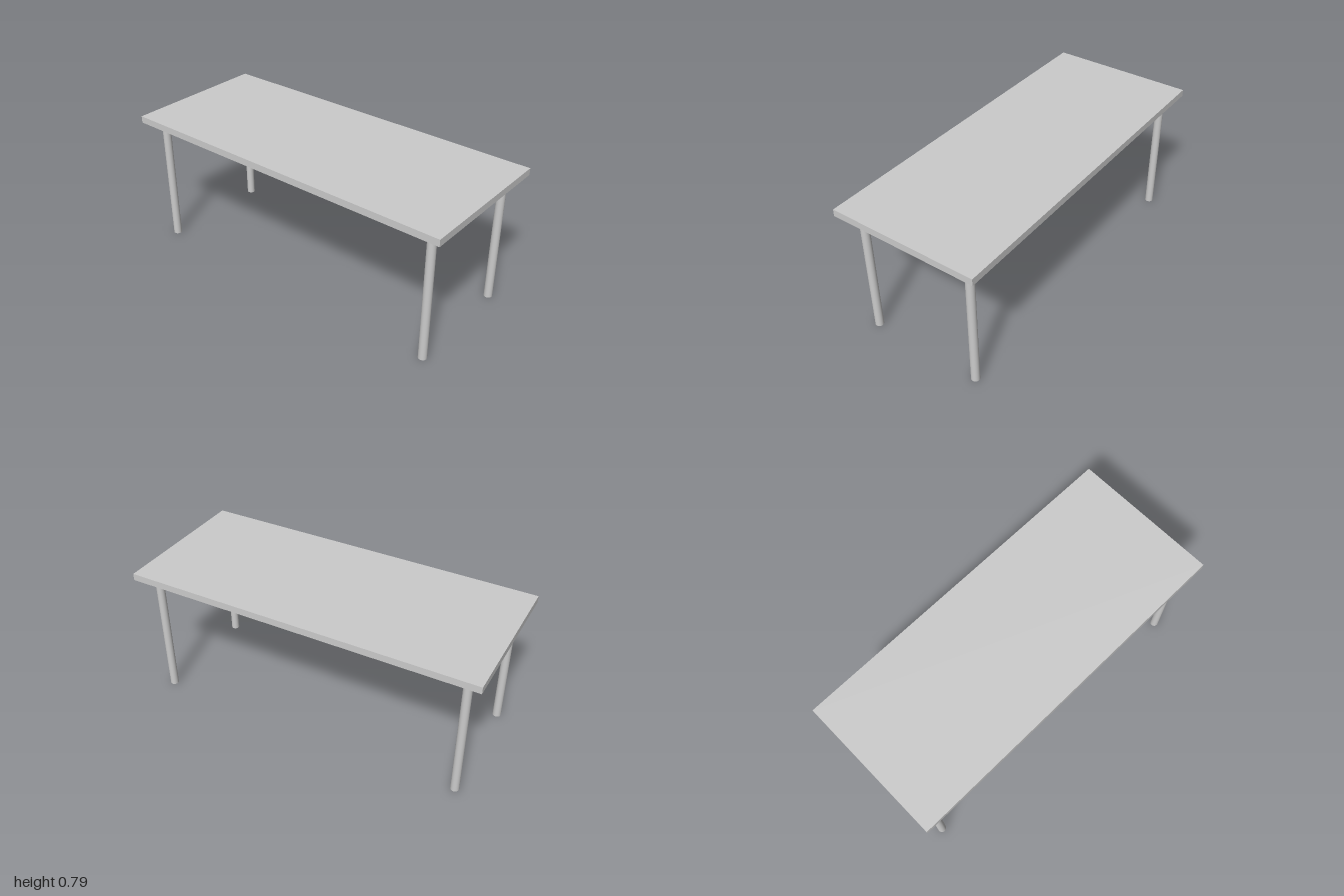
import * as THREE from 'three';

export function createModel() {
  const table = new THREE.Group();
  table.name = 'table';
  const material = new THREE.MeshStandardMaterial({ color: 0xcccccc });

  const height = 0.79, topThickness = 0.039, plateThickness = 0.009;
  const topBottom = height - topThickness;
  const legHeight = topBottom - plateThickness;

  const add = (name, geometry, x, y, z) => {
    const mesh = new THREE.Mesh(geometry, material);
    mesh.name = name;
    mesh.position.set(x, y, z);
    table.add(mesh);
  };

  // Table top slab
  add('tableTop', new THREE.BoxGeometry(0.842, topThickness, 2), 0, height - topThickness / 2, 0);

  // Four round legs, each under a square mounting plate
  const legGeometry = new THREE.CylinderGeometry(0.0235, 0.0235, legHeight, 48);
  const plateGeometry = new THREE.BoxGeometry(0.114, plateThickness, 0.114);
  for (const [front, sz] of [['front', 1], ['back', -1]]) {
    for (const [side, sx] of [['Left', 1], ['Right', -1]]) {
      const x = sx * 0.327, z = sz * 0.906;
      add(`${front}${side}Leg`, legGeometry, x, legHeight / 2, z);
      add(`${front}${side}Plate`, plateGeometry, x, legHeight + plateThickness / 2, z);
    }
  }

  return table;
}
